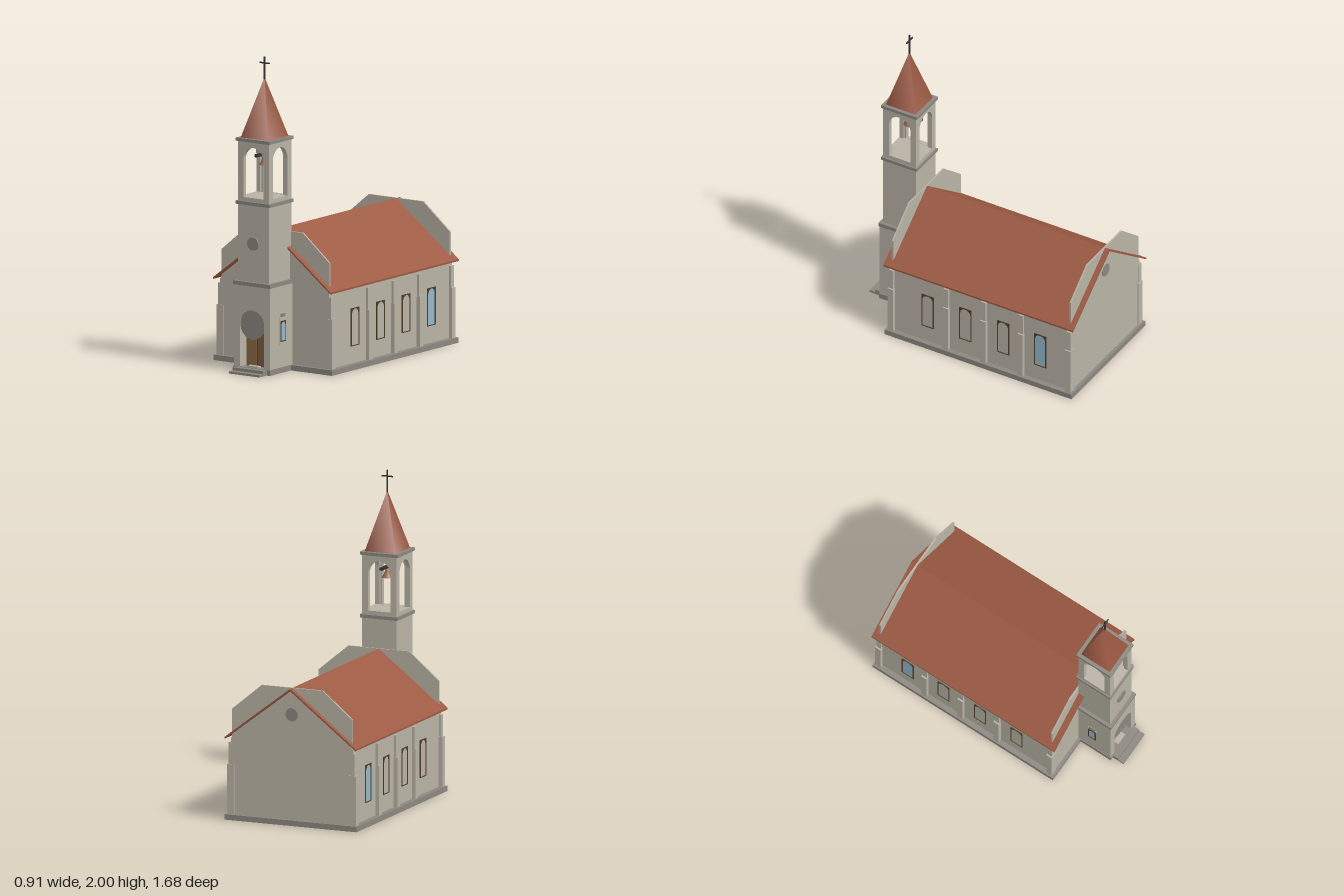
import * as THREE from 'three';

const mat = (name, color) => {
  const m = new THREE.MeshStandardMaterial({ color });
  m.name = name;
  return m;
};

export function createModel() {
  const wall = mat('wall plaster', 0xb8b3a5), trim = mat('stone trim', 0x8c8780);
  const tile = mat('roof tile', 0x9c5a43), frame = mat('window frame', 0x54402a);
  const wood = mat('door wood', 0x83603f), glass = mat('window glass', 0x94b8cc);
  const metal = mat('dark metal', 0x363432), bronze = mat('bell bronze', 0x99704f);

  const model = new THREE.Group();
  model.name = 'church';
  const add = (name, geo, material, x = 0, y = 0, z = 0, parent = model) => {
    const m = new THREE.Mesh(geo, material);
    m.name = name;
    m.position.set(x, y, z);
    parent.add(m);
    return m;
  };
  // Box given by its limits on each axis
  const box = (name, material, x0, x1, y0, y1, z0, z1, parent = model) =>
    add(name, new THREE.BoxGeometry(x1 - x0, y1 - y0, z1 - z0), material,
      (x0 + x1) / 2, (y0 + y1) / 2, (z0 + z1) / 2, parent);
  const polygon = pts => new THREE.Shape(pts.map(p => new THREE.Vector2(...p)));
  const rect = (w, y0, y1) => polygon([[-w, y0], [w, y0], [w, y1], [-w, y1]]);
  // Round-headed opening: half width w, sill y0, spring y1
  const arch = (w, y0, y1) => {
    const s = new THREE.Shape();
    s.moveTo(-w, y0).lineTo(w, y0).lineTo(w, y1);
    s.absarc(0, y1, w, 0, Math.PI, false);
    s.closePath();
    return s;
  };
  const extrude = (shape, depth, ...holes) => {
    shape.holes.push(...holes);
    return new THREE.ExtrudeGeometry(shape, { depth, bevelEnabled: false, curveSegments: 16 });
  };
  const disc = (name, material, r, depth, y, z) =>
    add(name, new THREE.CylinderGeometry(r, r, depth, 32), material, 0, y, z).rotation.x = Math.PI / 2;

  // Nave: plinth and gabled body
  box('navePlinth', trim, -0.455, 0.455, 0, 0.035, -0.83, 0.53);
  add('naveBody', extrude(polygon([[-0.42, 0.03], [0.42, 0.03], [0.42, 0.525], [0, 0.865], [-0.42, 0.525]]), 1.32),
    wall, 0, 0, -0.81);

  // Roof slopes
  for (const s of [-1, 1]) {
    const pts = [[0, 0.88], [s * 0.452, 0.532], [s * 0.452, 0.52], [0, 0.866]];
    add('roofSlope', extrude(polygon(pts), 1.38), tile, 0, 0, -0.84);
  }

  // Stepped parapets rising through both ends of the roof
  for (const z of [-0.806, 0.489])
    add('parapet', extrude(polygon([[-0.415, 0.53], [0.415, 0.53], [0.415, 0.71], [0.21, 0.88],
      [-0.21, 0.88], [-0.415, 0.71]]), 0.012), wall, 0, 0, z);
  disc('rearVent', trim, 0.042, 0.008, 0.71, -0.811);

  // Buttresses and nave windows on both sides
  for (const s of [-1, 1]) {
    for (const z of [0.495, 0.095, -0.178, -0.45, -0.797]) {
      const b = new THREE.Group();
      b.name = 'buttress';
      b.position.set(s * 0.42, 0, z);
      model.add(b);
      box('buttressLower', wall, -0.025, 0.025, 0.03, 0.355, -0.02, 0.02, b);
      box('buttressUpper', wall, -0.015, 0.015, 0.355, 0.495, -0.016, 0.016, b);
    }
    [0.235, -0.04, -0.315, -0.585].forEach((z, i) => {
      const w = new THREE.Group();
      w.name = 'naveWindow';
      w.position.set(s * 0.42, 0, z);
      w.rotation.y = s * Math.PI / 2;
      model.add(w);
      add('windowFrame', extrude(rect(0.044, 0.145, 0.387), 0.006, arch(0.038, 0.15, 0.344)), frame, 0, 0, 0, w);
      add('windowPane', extrude(arch(0.038, 0.15, 0.344), 0.002), i === 3 ? glass : wall, 0, 0, 0, w);
    });
  }

  // Tower base with an arched portal in its front
  const cz = 0.618;
  box('towerPlinth', trim, -0.142, 0.142, 0, 0.035, 0.5, 0.757);
  box('towerBase', wall, -0.138, 0.138, 0.03, 0.555, 0.49, 0.68);
  add('portalWall', extrude(rect(0.138, 0.03, 0.555), 0.073, arch(0.094, 0.034, 0.307)), wall, 0, 0, 0.68);
  disc('tympanum', trim, 0.093, 0.008, 0.307, 0.744);
  add('doorFrame', extrude(rect(0.084, 0.035, 0.28), 0.008), frame, 0, 0, 0.68);
  for (const s of [-1, 1]) {
    const leaf = add('doorLeaf', new THREE.BoxGeometry(0.07, 0.235, 0.01), wood, s * 0.041, 0.155, 0.698);
    leaf.rotation.y = -s * 0.2;
  }
  box('threshold', wall, -0.04, 0.04, 0.035, 0.045, 0.71, 0.745);
  box('upperStep', trim, -0.118, 0.118, 0, 0.033, 0.755, 0.797);
  box('lowerStep', trim, -0.118, 0.118, 0, 0.014, 0.795, 0.838);

  // Small windows on the tower sides
  for (const s of [-1, 1]) {
    const w = new THREE.Group();
    w.name = 'towerWindow';
    w.position.set(s * 0.138, 0, cz);
    w.rotation.y = s * Math.PI / 2;
    model.add(w);
    add('surround', extrude(rect(0.034, 0.18, 0.35), 0.004), wall, 0, 0, 0, w);
    add('windowFrame', extrude(rect(0.028, 0.2, 0.332), 0.009, arch(0.022, 0.206, 0.304)), frame, 0, 0, 0, w);
    add('windowPane', extrude(arch(0.022, 0.206, 0.304), 0.006), glass, 0, 0, 0, w);
    box('windowHood', trim, -0.022, 0.022, 0.358, 0.378, 0, 0.008, w);
  }

  // Tower shaft with its ledges
  const ledge = (name, r, y0, y1) => box(name, trim, -r, r, y0, y1, cz - r, cz + r);
  ledge('baseLedge', 0.141, 0.555, 0.58);
  box('towerShaft', wall, -0.12, 0.12, 0.58, 1.07, cz - 0.12, cz + 0.12);
  ledge('belfryLedge', 0.13, 1.068, 1.089);
  disc('frontRoundel', trim, 0.042, 0.014, 0.825, cz + 0.123);

  // Open belfry: four arched walls around a floor
  box('belfryFloor', wall, -0.1, 0.1, 1.085, 1.114, cz - 0.1, cz + 0.1);
  for (let i = 0; i < 4; i++) {
    const g = extrude(rect(i % 2 ? 0.09 : 0.12, 1.085, 1.472), 0.03, arch(0.078, 1.115, 1.357));
    g.translate(0, 0, 0.09);
    add('belfryWall', g, wall, 0, 0, cz).rotation.y = i * Math.PI / 2;
  }
  ledge('spireLedge', 0.13, 1.47, 1.49);

  // Bell on its beam
  box('bellBeam', metal, -0.009, 0.009, 1.372, 1.39, cz - 0.095, cz + 0.095);
  const bell = [[0, 1.368], [0.012, 1.368], [0.016, 1.352], [0.022, 1.333], [0.037, 1.312], [0.033, 1.312], [0, 1.35]];
  add('bell', new THREE.LatheGeometry(bell.reverse().map(p => new THREE.Vector2(...p)), 20), bronze, 0, 0, cz)
    .material.side = THREE.DoubleSide;

  // Spire and cross
  const spire = add('spire', new THREE.ConeGeometry(0.107 * Math.SQRT2, 0.38, 4), tile, 0, 1.68, cz);
  spire.rotation.y = Math.PI / 4;
  box('crossPost', metal, -0.004, 0.004, 1.85, 2, cz - 0.004, cz + 0.004);
  box('crossArm', metal, -0.038, 0.038, 1.956, 1.964, cz - 0.004, cz + 0.004);

  return model;
}
